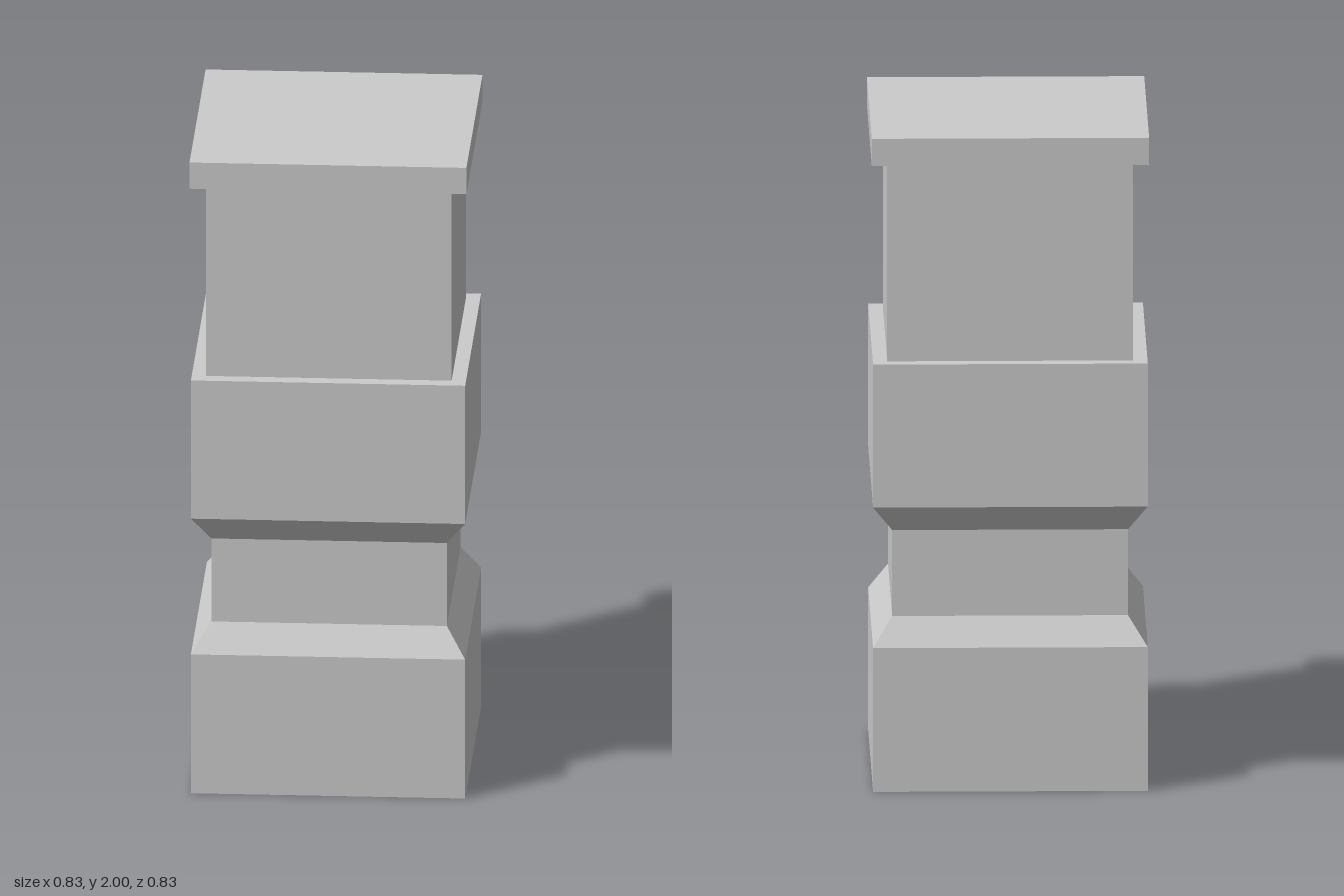
import * as THREE from 'three';

const material = new THREE.MeshStandardMaterial({ color: 0xcccccc, flatShading: true });

// Square solid swept from a [half width, height] profile, listed bottom to top
function squareSolid(name, profile) {
  const points = profile.map(([half, y]) => new THREE.Vector2(half * Math.SQRT2, y));
  const geometry = new THREE.LatheGeometry(points, 4).rotateY(Math.PI / 4).toNonIndexed();
  geometry.computeVertexNormals();
  const mesh = new THREE.Mesh(geometry, material);
  mesh.name = name;
  return mesh;
}

function box(name, half, bottom, top) {
  const mesh = new THREE.Mesh(new THREE.BoxGeometry(half * 2, top - bottom, half * 2), material);
  mesh.position.y = (bottom + top) / 2;
  mesh.name = name;
  return mesh;
}

export function createModel() {
  const pillar = new THREE.Group();
  pillar.name = 'pillar';

  // Base block, narrow waist and middle block joined by sloped bevels
  pillar.add(squareSolid('lowerBody', [
    [0, 0], [0.41, 0], [0.41, 0.44], [0.352, 0.525],
    [0.352, 0.788], [0.41, 0.87], [0.41, 1.308], [0, 1.308],
  ]));

  // Slightly narrower upper shaft and overhanging cap slab
  pillar.add(box('upperShaft', 0.367, 1.308, 1.917));
  pillar.add(box('capSlab', 0.414, 1.917, 2));

  return pillar;
}
